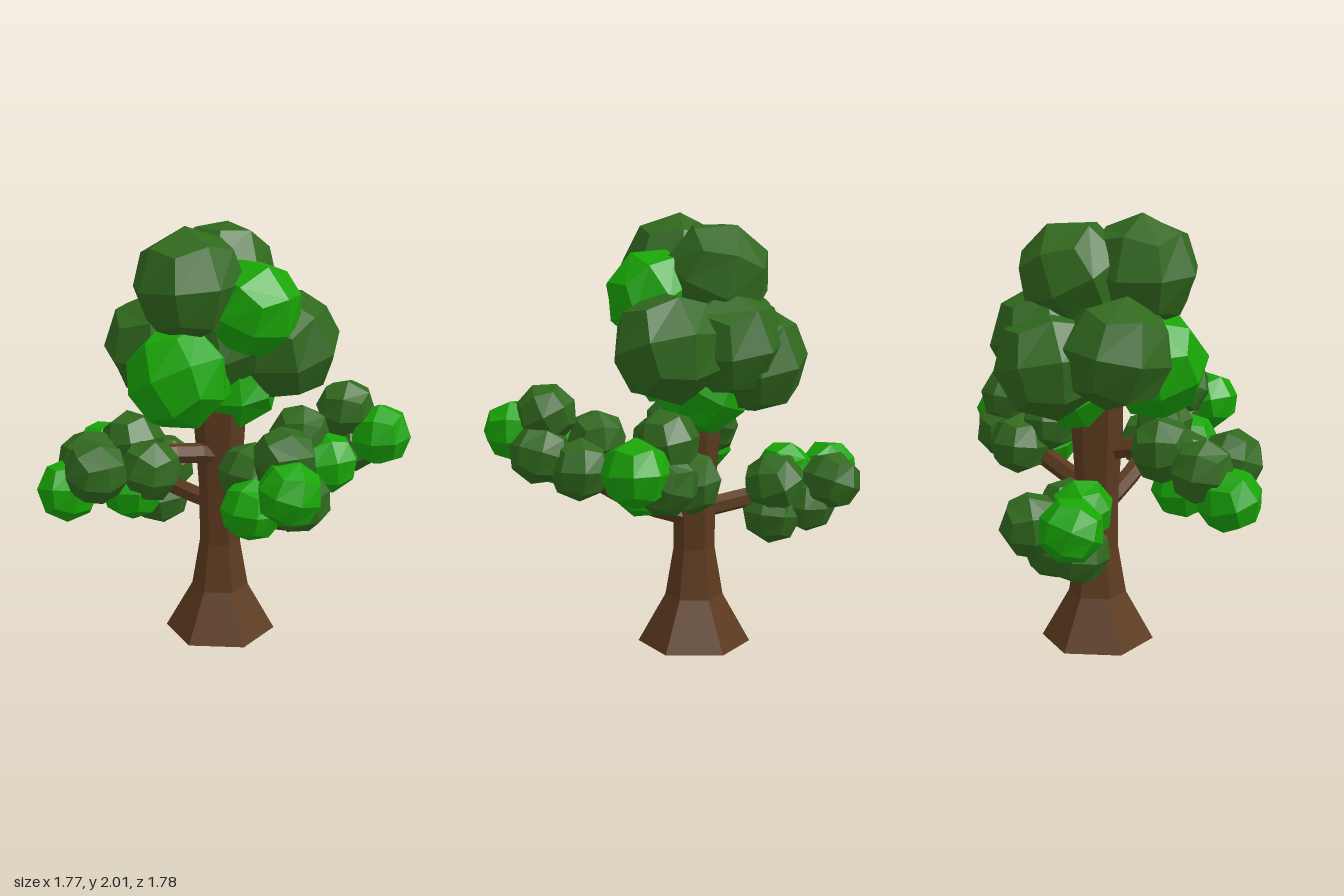
import * as THREE from 'three';

const flat = (name, color) => {
  const m = new THREE.MeshStandardMaterial({ color, flatShading: true });
  m.name = name;
  return m;
};

export function createModel() {
  const bark = flat('bark brown', 0x5c3a1e);
  const dark = flat('dark leaf green', 0x31691e);
  const bright = flat('bright leaf green', 0x19a507);
  const tree = new THREE.Group();
  tree.name = 'tree';

  const add = (parent, name, geo, mat) => {
    const mesh = new THREE.Mesh(geo, mat);
    mesh.name = name;
    parent.add(mesh);
    return mesh;
  };

  // Six-sided trunk: flared foot, narrow waist, widening again into the crown
  const rings = [[0.263, 0], [0.135, 0.23], [0.096, 0.46], [0.098, 0.72], [0.118, 1], [0.122, 1.25]];
  const profile = [[0, 0], ...rings, [0, 1.25]].map(([r, y]) => new THREE.Vector2(r, y));
  add(tree, 'trunk', new THREE.LatheGeometry(profile, 6), bark).position.z = -0.097;

  // Bent branches reaching from the trunk into each leaf cluster
  const branches = {
    frontBranch: [[0.03, 0.61, -0.08], [0.035, 0.68, 0.16], [0.04, 0.8, 0.38]],
    backBranch: [[0, 0.64, -0.12], [-0.09, 0.66, -0.28], [-0.18, 0.69, -0.48]],
    rightBranch: [[0, 0.9, -0.08], [-0.2, 0.95, -0.04], [-0.4, 0.97, -0.03]],
    leftBranch: [[0.02, 0.71, -0.1], [0.2, 0.765, -0.06], [0.42, 0.81, 0.02]],
  };
  for (const [name, pts] of Object.entries(branches)) {
    const curve = new THREE.CatmullRomCurve3(pts.map((p) => new THREE.Vector3(...p)));
    add(tree, name, new THREE.TubeGeometry(curve, 3, 0.047, 6), bark);
  }

  // Leaf ball: a cube with 2 x 2 faces per side, pushed out to a sphere
  const ball = new THREE.BoxGeometry(1, 1, 1, 2, 2, 2);
  const pos = ball.attributes.position;
  const v = new THREE.Vector3();
  for (let i = 0; i < pos.count; i++) {
    v.fromBufferAttribute(pos, i).normalize();
    pos.setXYZ(i, v.x, v.y, v.z);
  }
  ball.computeVertexNormals();

  // Each ball: x, y, z, radius, and 1 for bright green
  const clusters = {
    crown: [
      [-0.19, 1.75, -0.01, 0.259, 0], [0.06, 1.735, -0.195, 0.254, 0],
      [0.075, 1.637, 0.095, 0.225, 1], [0.28, 1.43, 0.02, 0.26, 0],
      [-0.25, 1.33, 0, 0.247, 1], [0.17, 1.44, -0.25, 0.257, 0],
      [0.07, 1.355, -0.36, 0.255, 0], [-0.23, 1.42, -0.27, 0.257, 0],
      [-0.01, 1.45, -0.06, 0.21, 0], [0.08, 1.24, -0.13, 0.232, 1],
    ],
    frontLeaves: [
      [-0.08, 1, 0.75, 0.146, 1], [-0.02, 1.09, 0.59, 0.146, 0],
      [0.03, 0.91, 0.62, 0.147, 0], [0.06, 0.84, 0.43, 0.15, 0],
      [-0.07, 0.96, 0.36, 0.144, 0], [-0.13, 0.85, 0.5, 0.142, 1],
    ],
    backLeaves: [
      [-0.335, 0.765, -0.75, 0.144, 1], [-0.13, 0.75, -0.75, 0.143, 0],
      [-0.23, 0.78, -0.53, 0.142, 1], [-0.12, 0.74, -0.48, 0.151, 0],
      [-0.15, 0.59, -0.47, 0.15, 0], [-0.28, 0.63, -0.63, 0.143, 0],
      [-0.17, 0.63, -0.64, 0.138, 0],
    ],
    rightLeaves: [
      [-0.74, 0.82, -0.15, 0.147, 1], [-0.66, 0.945, 0, 0.149, 0],
      [-0.62, 0.93, -0.18, 0.15, 0], [-0.41, 0.995, -0.17, 0.15, 0],
      [-0.4, 0.91, 0, 0.148, 0], [-0.455, 0.81, -0.07, 0.147, 1],
    ],
    leftLeaves: [
      [0.73, 0.96, 0.15, 0.152, 1], [0.61, 1.07, 0.03, 0.147, 0],
      [0.65, 0.9, 0.03, 0.146, 0], [0.36, 0.98, 0.03, 0.147, 0],
      [0.475, 0.87, -0.07, 0.148, 0], [0.46, 0.855, 0.13, 0.147, 1],
    ],
  };
  let n = 0;
  for (const [name, balls] of Object.entries(clusters)) {
    const group = new THREE.Group();
    group.name = name;
    for (const [x, y, z, r, lit] of balls) {
      const mesh = add(group, 'leafBall', ball, lit ? bright : dark);
      mesh.position.set(x, y, z);
      mesh.scale.setScalar(r);
      // Varied tilt so that no two balls align
      n++;
      mesh.rotation.set(0.3 * Math.sin(n * 2.3), n * 1.7, 0.3 * Math.cos(n * 3.1));
    }
    tree.add(group);
  }
  return tree;
}
